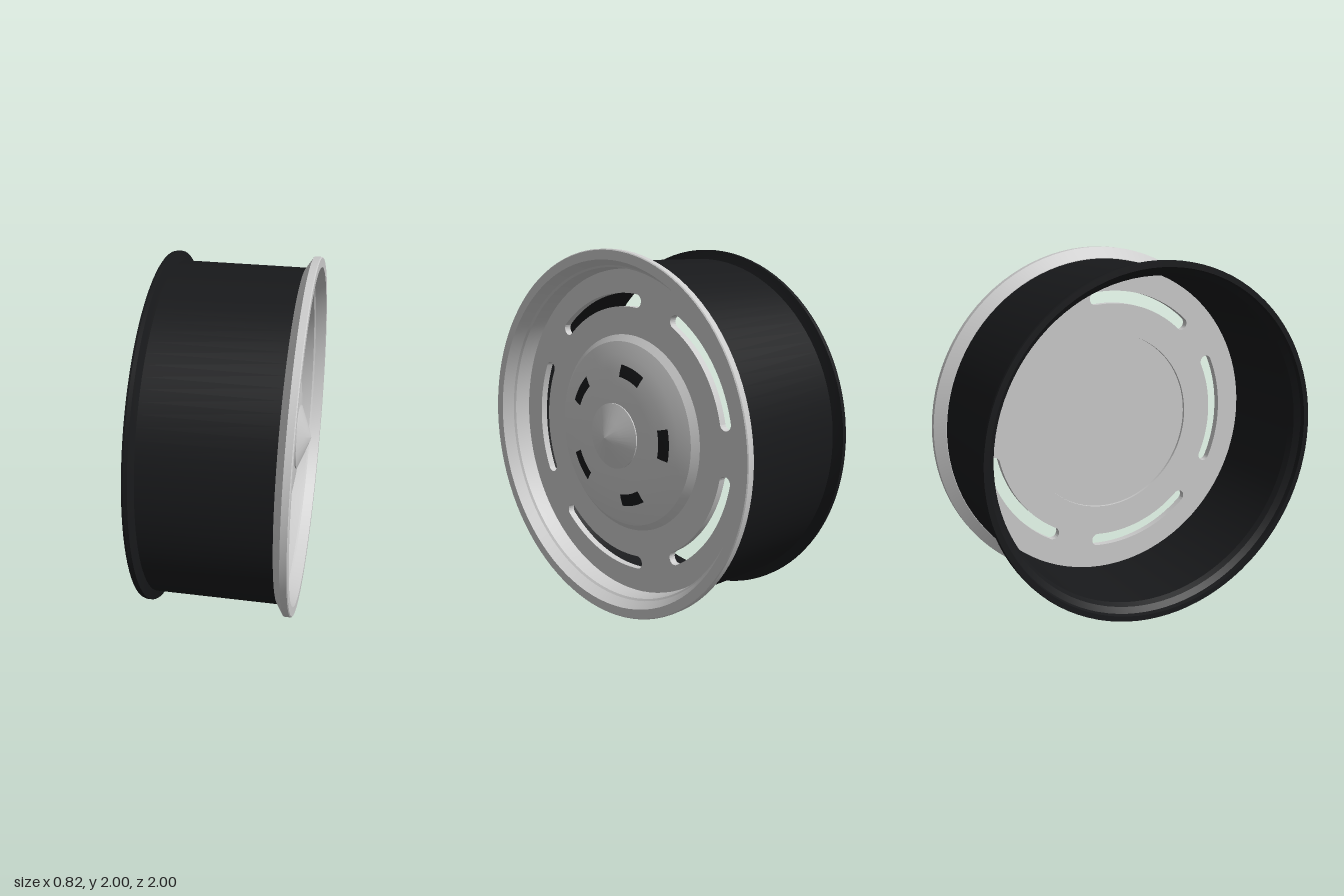
import * as THREE from 'three';
import { toCreasedNormals } from 'three/addons/utils/BufferGeometryUtils.js';

const grey = new THREE.MeshStandardMaterial({ color: 0xcccccc });
const black = new THREE.MeshStandardMaterial({ color: 0x18191b });
const rad = THREE.MathUtils.degToRad;
const SPOKES = 5;

// Revolve [radius, depth] points around the axle (local z, outward)
function revolve(name, points, material, segments = 96, start = 0, length = Math.PI * 2) {
  const profile = points.map(([r, d]) => new THREE.Vector2(r, d));
  const geometry = new THREE.LatheGeometry(profile, segments, start, length).rotateX(Math.PI / 2);
  const mesh = new THREE.Mesh(toCreasedNormals(geometry, 0.2), material);
  mesh.name = name;
  return mesh;
}

// Curved slot with round ends, centred on the given angle
function slotPath(angle, radius, halfWidth, halfSpan) {
  const a0 = angle - halfSpan, a1 = angle + halfSpan;
  const path = new THREE.Path();
  path.absarc(0, 0, radius + halfWidth, a0, a1, false);
  path.absarc(radius * Math.cos(a1), radius * Math.sin(a1), halfWidth, a1, a1 + Math.PI, false);
  path.absarc(0, 0, radius - halfWidth, a1, a0, true);
  path.absarc(radius * Math.cos(a0), radius * Math.sin(a0), halfWidth, a0 + Math.PI, a0 + 2 * Math.PI, false);
  path.closePath();
  return path;
}

export function createModel() {
  const model = new THREE.Group();
  model.name = 'wheelRim';

  const wheel = new THREE.Group();
  wheel.name = 'wheel';
  wheel.rotation.y = Math.PI / 2; // axle along x, face towards +x
  wheel.position.y = 1;
  model.add(wheel);

  // Black barrel with the flared rear flange, open at the back
  wheel.add(revolve('barrel', [
    [0.905, 0.32], [0.905, -0.33], [0.92, -0.36], [0.95, -0.385], [0.955, -0.41],
    [0.985, -0.41], [0.988, -0.4], [0.988, -0.38], [0.965, -0.372], [0.937, -0.36], [0.937, 0.32],
  ], black));

  // Front rim with a stepped inner lip
  wheel.add(revolve('frontRim', [
    [0.905, 0.32], [0.94, 0.32], [1, 0.36], [1, 0.395], [0.995, 0.4], [0.945, 0.4],
    [0.915, 0.34], [0.905, 0.33], [0.895, 0.24], [0.895, 0.2], [0.906, 0.2], [0.906, 0.32],
  ], grey));

  // Recessed disc with five curved vents
  const shape = new THREE.Shape();
  shape.absarc(0, 0, 0.9, 0, Math.PI * 2, false);
  const centre = new THREE.Path();
  centre.absarc(0, 0, 0.52, 0, Math.PI * 2, true);
  shape.holes.push(centre);
  for (let i = 0; i < SPOKES; i++) {
    shape.holes.push(slotPath(rad(36 + i * 72), 0.731, 0.036, rad(24)));
  }
  const discGeometry = new THREE.ExtrudeGeometry(shape, { depth: 0.04, bevelEnabled: false, curveSegments: 48 });
  const disc = new THREE.Mesh(toCreasedNormals(discGeometry.translate(0, 0, 0.2), 0.5), grey);
  disc.name = 'ventedDisc';
  wheel.add(disc);

  // Domed centre cap with bevelled edge and flat back
  wheel.add(revolve('centreCap', [
    [0, 0.215], [0.52, 0.215], [0.545, 0.24], [0.51, 0.27],
    [0.44, 0.296], [0.36, 0.315], [0.27, 0.329], [0.18, 0.336],
  ], grey));

  // Pointed hub cone
  wheel.add(revolve('hubCone', [[0.18, 0.336], [0.18, 0.342], [0.09, 0.378], [0.02, 0.404], [0, 0.41]], grey));

  // Dark lug windows lying on the dome
  for (let i = 0; i < SPOKES; i++) {
    const start = rad(i * 72 + 90 - 13);
    wheel.add(revolve('lugWindow', [[0.393, 0.311], [0.36, 0.319], [0.327, 0.324]], black, 8, start, rad(26)));
  }

  return model;
}
